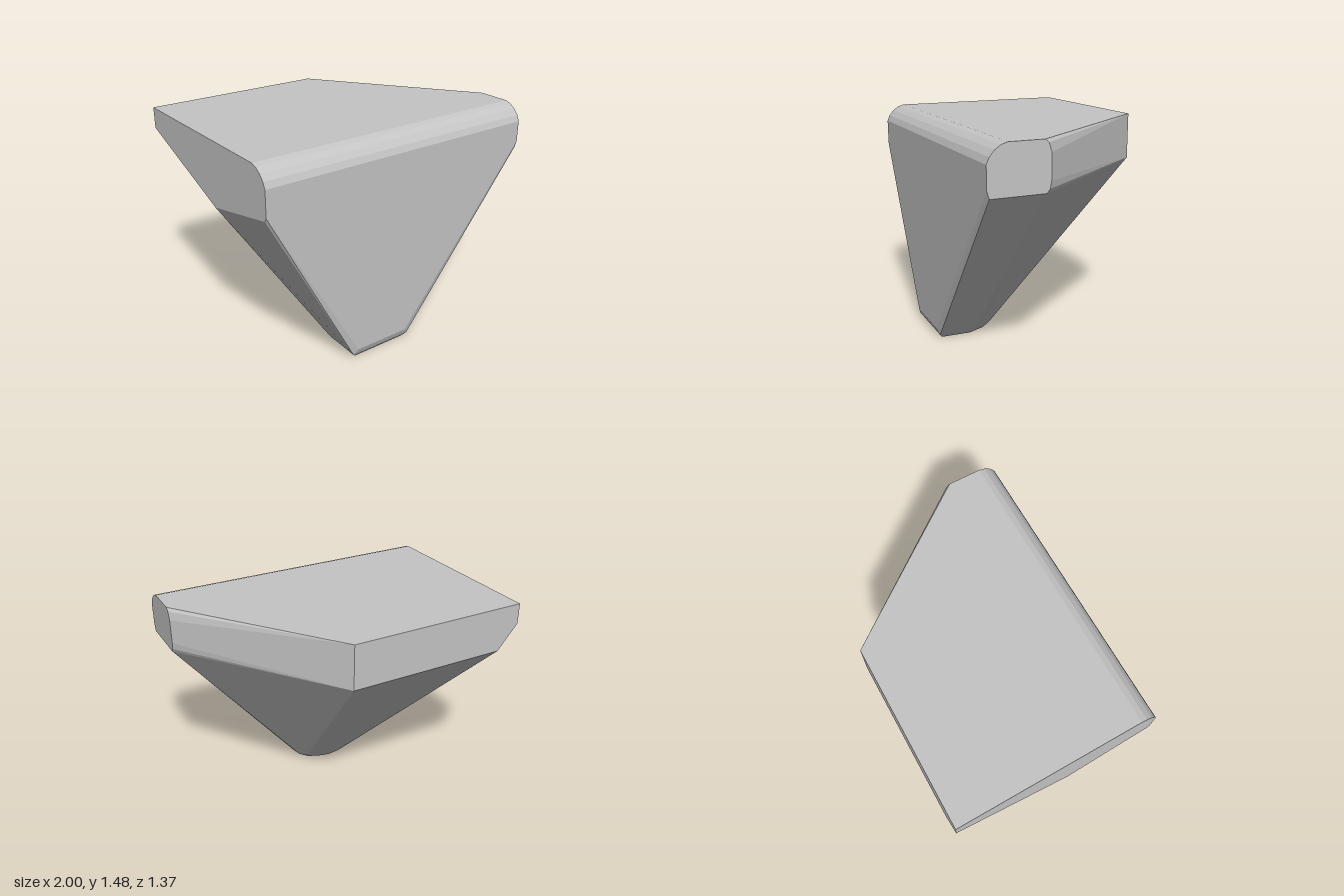
import * as THREE from 'three';
import { ConvexGeometry } from 'three/addons/geometries/ConvexGeometry.js';

const FRONT = 0.687, BACK = -0.687, TOP = 1.475;

// The left end leans very slightly, so its x depends on z.
const leftX = (z) => -1 + 0.025 * (z - BACK) / (FRONT - BACK);

export function createModel() {
  const group = new THREE.Group();
  const stone = new THREE.MeshStandardMaterial({ color: 0xc4c4c4 });
  stone.name = 'grey';
  const points = [];
  const add = (x, y, z) => points.push(new THREE.Vector3(x, y, z));

  // Rounded front top edge, running from the left end to the right cap
  for (const [z, y] of [[0.56, TOP], [0.6, 1.463], [0.638, 1.437], [0.67, 1.4], [FRONT, 1.36]]) {
    add(leftX(z), y, z);
    add(1, y, z);
  }

  // Right cap: rounded corners at its back and lower edges (z, y)
  for (const [z, y] of [
    [0.34, TOP], [0.315, 1.455], [0.298, 1.4], [0.298, 1.24],
    [0.306, 1.195], [0.325, 1.17], [0.672, 1.17], [FRONT, 1.22],
  ]) add(1, y, z);

  // Back wall, with a clipped lower corner on the left
  add(0.22, TOP, BACK);
  add(0.22, 1.17, BACK);
  add(-1, TOP, BACK);
  add(-1, 1.335, BACK);
  add(-0.86, 1.17, BACK);

  // Lower corners of the left end
  add(leftX(0.1), 1.04, 0.1);
  add(leftX(0.67), 1.165, 0.67);
  add(leftX(FRONT), 1.19, FRONT);

  // Foot of the front wall
  add(-0.33, 0.07, FRONT);
  add(0.06, 0.07, FRONT);

  // Rounded rim of the narrow foot (x, z)
  for (const [x, z] of [
    [0.09, 0.672], [0.1, 0.43], [0.085, 0.36], [0.045, 0.295], [-0.02, 0.25],
    [-0.1, 0.23], [-0.19, 0.24], [-0.27, 0.28], [-0.335, 0.345], [-0.36, 0.41], [-0.36, 0.672],
  ]) add(x, z < 0.3 ? 0.045 : 0.03, z);

  // Flat underside (x, z)
  for (const [x, z] of [
    [0.06, 0.65], [0.07, 0.45], [0.02, 0.34], [-0.08, 0.3], [-0.2, 0.3], [-0.3, 0.37], [-0.33, 0.44], [-0.33, 0.65],
  ]) add(x, 0, z);

  const body = new THREE.Mesh(new ConvexGeometry(points), stone);
  body.name = 'taperedBlock';
  group.add(body);
  return group;
}
